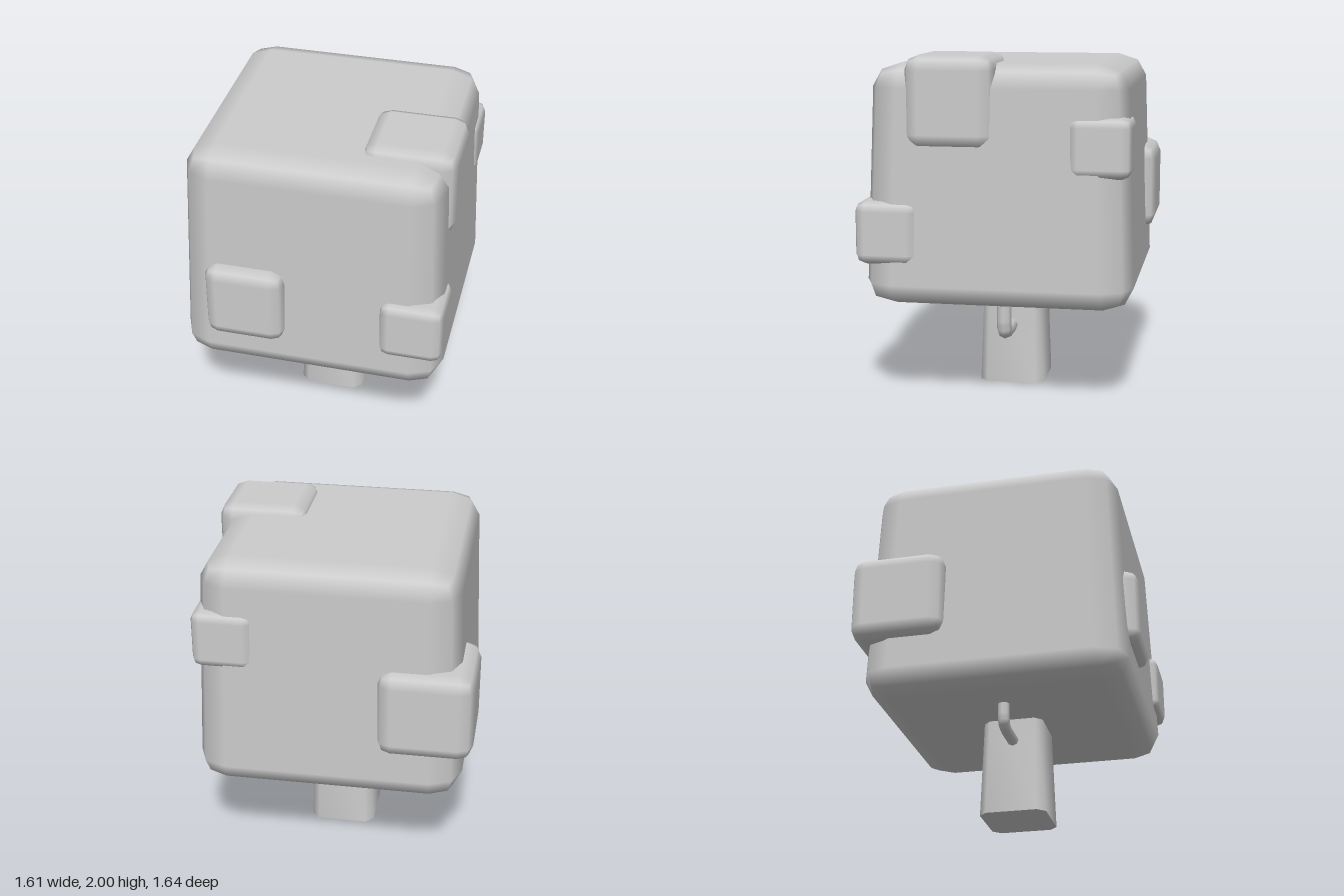
import * as THREE from 'three';
import { RoundedBoxGeometry } from 'three/addons/geometries/RoundedBoxGeometry.js';
import { toCreasedNormals } from 'three/addons/utils/BufferGeometryUtils.js';

const CX = 0.022, CZ = -0.006; // axis shared by trunk and crown

// Narrow a geometry towards its top: width factor 1 at y0, k at y1
function taper(geometry, y0, y1, k) {
  const p = geometry.attributes.position;
  for (let i = 0; i < p.count; i++) {
    const s = 1 + (k - 1) * (p.getY(i) - y0) / (y1 - y0);
    p.setX(i, p.getX(i) * s);
    p.setZ(i, p.getZ(i) * s);
  }
  return geometry;
}

// Square with cut corners
function chamferedSquare(h, c) {
  const a = h - c;
  return new THREE.Shape([
    [a, -h], [h, -a], [h, a], [a, h], [-a, h], [-h, a], [-h, -a], [-a, -h],
  ].map(([x, y]) => new THREE.Vector2(x, y)));
}

// L-shaped path: out of the trunk, round a short bend, up into the crown
function branchGeometry(x, y, radius, bend) {
  const d = Math.sign(x);
  const v = (px, py) => new THREE.Vector3(px, py, 0);
  const corner = v(x, y);
  const start = v(x - d * bend, y), end = v(x, y + bend);
  const arc = new THREE.QuadraticBezierCurve3(start, corner, end).getPoints(3);
  const path = new THREE.CurvePath();
  const points = [v(CX, y), ...arc, v(x, 0.75)];
  for (let i = 1; i < points.length; i++) path.add(new THREE.LineCurve3(points[i - 1], points[i]));
  return new THREE.TubeGeometry(path, 48, radius, 8);
}

export function createModel() {
  const group = new THREE.Group();
  const material = new THREE.MeshStandardMaterial({ color: 0xcccccc });
  const add = (name, geometry, x = 0, y = 0, z = 0) => {
    const mesh = new THREE.Mesh(geometry, material);
    mesh.name = name;
    mesh.position.set(x, y, z);
    group.add(mesh);
  };

  // Trunk
  let trunk = new THREE.ExtrudeGeometry(chamferedSquare(0.194, 0.045), { depth: 0.8, bevelEnabled: false });
  trunk.rotateX(-Math.PI / 2);
  trunk = taper(trunk, 0, 0.8, 0.86);
  add('trunk', toCreasedNormals(trunk, 0.9), CX, 0, CZ);

  // Side branches
  add('rightBranch', branchGeometry(-0.385, 0.437, 0.034, 0.06));
  add('leftBranch', branchGeometry(0.415, 0.356, 0.044, 0.065));

  // Crown: bevel slightly flatter in height than in width
  const squash = 0.75, height = 1.38;
  const crown = new RoundedBoxGeometry(1.545, height / squash, 1.545, 1, 0.178);
  crown.scale(1, squash, 1);
  add('crown', taper(crown, -height / 2, height / 2, 0.936), CX, 1.26, CZ);

  // Leaf clumps: name, size x y z, centre x y z
  const clumps = [
    ['frontClump', 0.465, 0.465, 0.465, -0.34, 1.042, 0.587],
    ['frontCornerClump', 0.365, 0.36, 0.36, 0.618, 1.0, 0.613],
    ['topClump', 0.53, 0.525, 0.51, 0.523, 1.738, 0.252],
    ['backSmallClump', 0.35, 0.335, 0.35, 0.603, 1.5, -0.588],
    ['backCornerClump', 0.545, 0.52, 0.555, -0.537, 1.14, -0.543],
  ];
  for (const [name, w, h, d, x, y, z] of clumps) {
    add(name, new RoundedBoxGeometry(w, h, d, 1, 0.16 * h), x, y, z);
  }
  return group;
}
